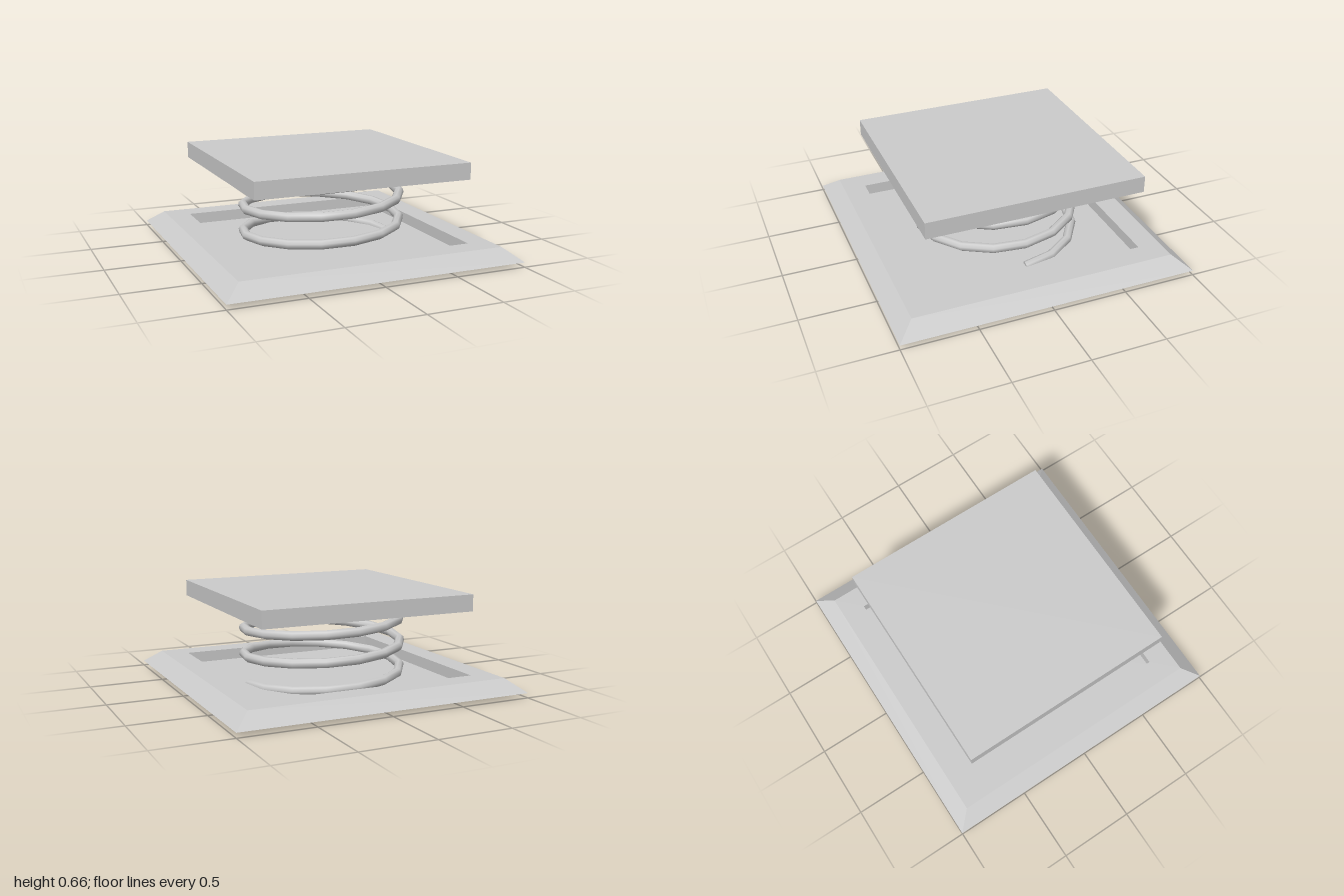
import * as THREE from 'three';

const flat = new THREE.MeshStandardMaterial({ color: 0xcccccc, flatShading: true });
const smooth = new THREE.MeshStandardMaterial({ color: 0xcccccc, side: THREE.DoubleSide });

const RADIUS = 0.54, WIRE = 0.032, START_Y = 0.035, PITCH = 0.18, TURNS = 3;

// Coil winding from +x towards the back
class Helix extends THREE.Curve {
  getPoint(t, target = new THREE.Vector3()) {
    const a = t * TURNS * Math.PI * 2;
    return target.set(RADIUS * Math.cos(a), START_Y + PITCH * TURNS * t, -RADIUS * Math.sin(a));
  }
}

function addMesh(parent, name, geometry, material) {
  const mesh = new THREE.Mesh(geometry, material);
  mesh.name = name;
  parent.add(mesh);
  return mesh;
}

export function createModel() {
  const model = new THREE.Group();
  model.name = 'springPad';

  // Square bevelled base with a sunken tray: [half width, height]
  const profile = [[0, 0.035], [1, 0.035], [0.89, 0.122], [0.735, 0.122], [0.735, 0.045], [0, 0.045]]
    .map(([half, y]) => new THREE.Vector2(half * Math.SQRT2, y));
  addMesh(model, 'base', new THREE.LatheGeometry(profile, 4, Math.PI / 4), flat);

  // Spring with closed wire ends
  const spring = new THREE.Group();
  spring.name = 'spring';
  model.add(spring);
  const helix = new Helix();
  addMesh(spring, 'coil', new THREE.TubeGeometry(helix, 16 * TURNS, WIRE, 8), smooth);
  for (const t of [0, 1]) {
    const cap = addMesh(spring, t ? 'upperWireEnd' : 'lowerWireEnd', new THREE.CircleGeometry(WIRE, 8), smooth);
    const outward = helix.getTangent(t).multiplyScalar(t ? 1 : -1);
    cap.position.copy(helix.getPoint(t));
    cap.lookAt(cap.position.clone().add(outward));
  }

  // Square plate on top of the spring
  addMesh(model, 'topPlate', new THREE.BoxGeometry(1.47, 0.112, 1.47), flat).position.y = 0.605;

  return model;
}
